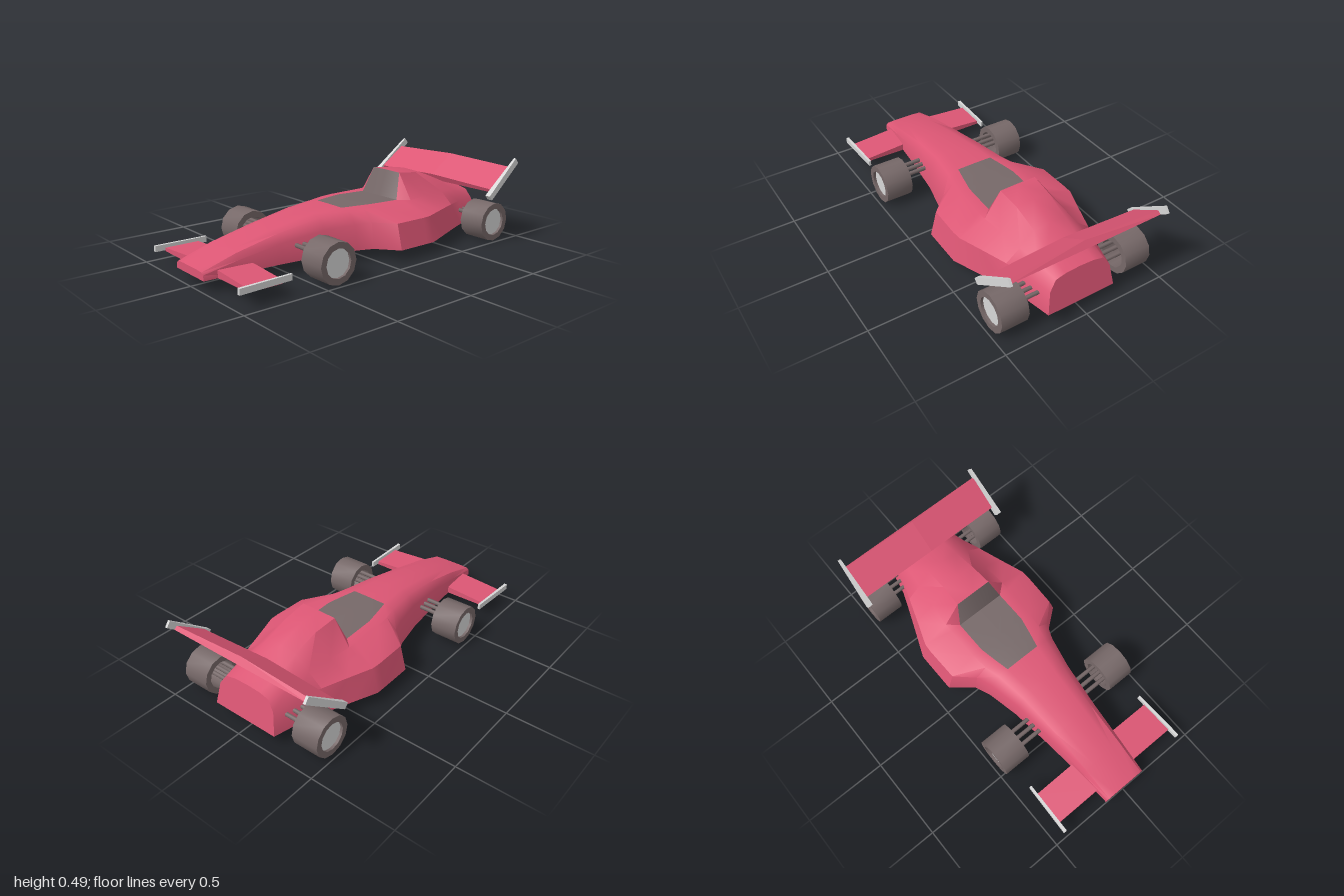
import * as THREE from 'three';
import { toCreasedNormals } from 'three/addons/utils/BufferGeometryUtils.js';
import { ConvexGeometry } from 'three/addons/geometries/ConvexGeometry.js';

const mat = (name, color) => {
  const m = new THREE.MeshStandardMaterial({ color, side: THREE.DoubleSide });
  m.name = name;
  return m;
};

export function createModel() {
  const paint = mat('red paint', 0xdc5674);
  const rubber = mat('dark rubber', 0x766868);
  const metal = mat('light metal', 0xd6d6d6);

  const car = new THREE.Group();
  car.name = 'racingCar';
  const add = (name, geometry, material, parent = car) => {
    const mesh = new THREE.Mesh(geometry, material);
    mesh.name = name;
    parent.add(mesh);
    return mesh;
  };
  // Convex solid from corner points
  const hull = pts => new ConvexGeometry(pts.map(p => new THREE.Vector3(...p)));

  // Body stations: z, centre height, then x,y of cockpit edge, shoulder, side crease; bottom half width
  const floor = 0.065;
  const stations = [
    [1.0, 0.11, 0.07, 0.11, 0.12, 0.107, 0.134, 0.095, 0.138],
    [0.8, 0.178, 0.075, 0.177, 0.125, 0.168, 0.146, 0.135, 0.15],
    [0.55, 0.237, 0.08, 0.236, 0.13, 0.222, 0.162, 0.175, 0.172],
    [0.28, 0.28, 0.09, 0.278, 0.148, 0.265, 0.19, 0.205, 0.205],
    [0.09, 0.285, 0.11, 0.284, 0.175, 0.274, 0.23, 0.21, 0.247],
    [0.0, 0.285, 0.13, 0.284, 0.198, 0.276, 0.265, 0.215, 0.285],
    [-0.1, 0.284, 0.15, 0.283, 0.21, 0.276, 0.37, 0.212, 0.408],
    [-0.3, 0.275, 0.15, 0.275, 0.212, 0.275, 0.375, 0.212, 0.41],
    [-0.355, 0.427, 0.112, 0.425, 0.212, 0.276, 0.372, 0.213, 0.41],
    [-0.5, 0.42, 0.105, 0.408, 0.2, 0.28, 0.32, 0.213, 0.352],
    [-0.65, 0.37, 0.1, 0.358, 0.185, 0.28, 0.268, 0.213, 0.293],
    [-0.77, 0.312, 0.1, 0.305, 0.168, 0.272, 0.225, 0.208, 0.248],
    [-0.91, 0.268, 0.09, 0.264, 0.15, 0.252, 0.19, 0.195, 0.21],
  ];
  const positions = [];
  stations.forEach(([z, top, x1, y1, x2, y2, x3, y3, x4], s) => {
    const half = [[x4, floor], [x3, y3], [x2, y2], [x1, y1]];
    const ring = [
      ...half.map(([x, y]) => [-x, y]), [0, top], ...half.slice().reverse(),
    ];
    // The tail panel leans backwards towards the floor
    const lean = y => (s === stations.length - 1 ? 0.04 * (top - y) / (top - floor) : 0);
    ring.forEach(([x, y]) => positions.push(x, y, z - lean(y)));
  });
  const N = 9, last = (stations.length - 1) * N;
  const skin = [], cockpit = [];
  for (let s = 0; s < stations.length - 1; s++) {
    for (let i = 0; i < N - 1; i++) {
      const a = s * N + i, b = a + 1, c = a + N, d = c + 1;
      const isCockpit = s >= 4 && s <= 7 && i >= 3 && i <= 4;
      // Diagonals mirror about the centre line
      (isCockpit ? cockpit : skin).push(...(i < 4 ? [a, b, c, b, d, c] : [a, b, d, a, d, c]));
    }
  }
  // Nose and tail panels; the underside stays open
  for (let i = 1; i < N - 1; i++) {
    skin.push(0, i + 1, i, last, last + i, last + i + 1);
  }
  const shell = new THREE.BufferGeometry();
  shell.setAttribute('position', new THREE.Float32BufferAttribute(positions, 3));
  shell.setIndex([...skin, ...cockpit]);
  shell.addGroup(0, skin.length, 0);
  shell.addGroup(skin.length, cockpit.length, 1);
  add('bodyAndCockpit', toCreasedNormals(shell, 0.75), [paint, rubber]);

  // Rear wing, thicker along the centre line
  const wing = [];
  for (const [x, lift] of [[-0.472, 0], [0, 0.018], [0.472, 0]]) {
    wing.push(
      [x, 0.305, -0.778], [x, 0.325 + lift, -0.768 + lift * 0.5],
      [x, 0.44 + lift, -0.938 + lift * 0.5], [x, 0.425, -0.957],
    );
  }
  add('rearWing', hull(wing), paint);

  // Tyre ring turned about the axle
  const tyre = toCreasedNormals(new THREE.LatheGeometry([
    [0.082, -0.082], [0.117, -0.082], [0.117, 0.082], [0.082, 0.082], [0.082, -0.082],
  ].map(p => new THREE.Vector2(...p)), 12).rotateZ(-Math.PI / 2), 0.75);
  const disc = new THREE.CylinderGeometry(0.082, 0.082, 0.008, 12).rotateZ(-Math.PI / 2);
  const rod = new THREE.CylinderGeometry(0.0125, 0.0125, 0.27, 6).rotateZ(Math.PI / 2);

  for (const side of [1, -1]) {
    const label = side > 0 ? 'left' : 'right';

    // Rear wing end plate, wider at its lower front end
    const plate = [];
    for (const [y, z, outer] of [[0.295, -0.722, 0.504], [0.268, -0.745, 0.504],
      [0.458, -1.0, 0.485], [0.49, -0.975, 0.485]]) {
      plate.push([side * 0.47, y, z], [side * outer, y, z]);
    }
    add(label + 'RearEndPlate', hull(plate), metal);

    // Front wing, thinning towards the tip
    const blade = [];
    for (const z of [0.72, 0.92]) {
      blade.push([side * 0.13, 0.065, z], [side * 0.13, 0.108, z],
        [side * 0.418, 0.068, z], [side * 0.418, 0.088, z]);
    }
    add(label + 'FrontWing', hull(blade), paint);

    // Front wing end plate
    const tip = [];
    for (const [z, inner, outer] of [[0.665, 0.41, 0.424], [0.98, 0.418, 0.436]]) {
      for (const y of [0.074, 0.108]) tip.push([side * inner, y, z], [side * outer, y, z]);
    }
    add(label + 'FrontEndPlate', hull(tip), metal);

    // Wheels with their suspension rods
    for (const [place, z] of [['Front', 0.41], ['Rear', -0.81]]) {
      const wheel = new THREE.Group();
      wheel.name = label + place + 'Wheel';
      wheel.position.set(side * 0.393, 0.117, z);
      car.add(wheel);
      add('tyre', tyre, rubber, wheel);
      add('rim', disc, metal, wheel).position.x = side * 0.062;
      add('hub', disc, rubber, wheel).position.x = side * 0.052;
      for (const dz of [-0.046, 0, 0.046]) {
        add(label + place + 'SuspensionRod', rod, rubber).position.set(side * 0.305, 0.152, z + dz);
      }
    }
  }
  return car;
}
